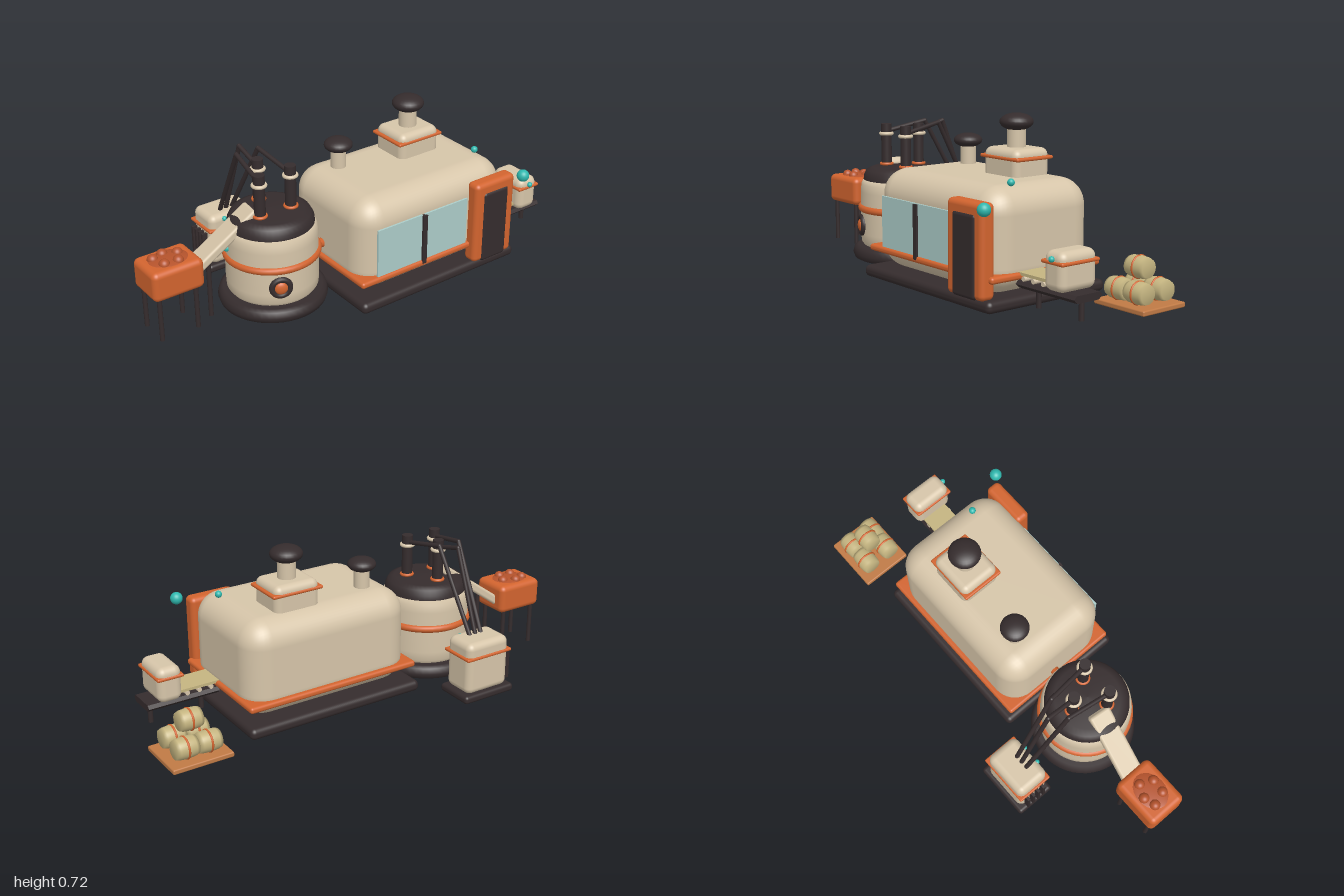
import * as THREE from 'three';
import { RoundedBoxGeometry } from 'three/addons/geometries/RoundedBoxGeometry.js';

const mat = (name, color, extra = {}) => {
  const m = new THREE.MeshStandardMaterial({ color, ...extra });
  m.name = name;
  return m;
};

export function createModel() {
  const cream = mat('cream', 0xd6c5a9);
  const orange = mat('orange', 0xd2642f);
  const dark = mat('charcoal', 0x352c2d);
  const glass = mat('glass', 0xaccdc9);
  const teal = mat('teal', 0x2fb8ae);
  const khaki = mat('khaki', 0xc4b480);
  const rust = mat('rust', 0xb5532c);
  const wood = mat('wood', 0xc07a45);

  const root = new THREE.Group();
  root.name = 'factory';
  const section = (name) => {
    const g = new THREE.Group();
    g.name = name;
    root.add(g);
    return g;
  };
  const put = (parent, name, geo, m, x = 0, y = 0, z = 0) => {
    const mesh = new THREE.Mesh(geo, m);
    mesh.name = name;
    mesh.position.set(x, y, z);
    parent.add(mesh);
    return mesh;
  };
  // Rounded box given by its extents on each axis
  const rbox = (p, name, m, [x0, x1], [y0, y1], [z0, z1], r) =>
    put(p, name, new RoundedBoxGeometry(x1 - x0, y1 - y0, z1 - z0, 5, r), m, (x0 + x1) / 2, (y0 + y1) / 2, (z0 + z1) / 2);
  const cyl = (p, name, m, r, y0, y1, x, z, seg = 24) =>
    put(p, name, new THREE.CylinderGeometry(r, r, y1 - y0, seg), m, x, (y0 + y1) / 2, z);
  const ball = (p, name, m, r, x, y, z, sy = 1) => {
    const s = put(p, name, new THREE.SphereGeometry(r, 24, 16), m, x, y, z);
    s.scale.y = sy;
    return s;
  };
  const hoop = (p, name, m, r, t, x, y, z) => {
    const h = put(p, name, new THREE.TorusGeometry(r, t, 10, 40), m, x, y, z);
    h.rotation.x = Math.PI / 2;
    return h;
  };
  const lathe = (p, name, m, pts, x, y, z) =>
    put(p, name, new THREE.LatheGeometry(pts.map(([a, b]) => new THREE.Vector2(a, b)), 48), m, x, y, z);
  // Straight rod between two points
  const rod = (p, name, m, a, b, r) => {
    const A = new THREE.Vector3(...a), B = new THREE.Vector3(...b);
    const d = B.clone().sub(A);
    const s = put(p, name, new THREE.CylinderGeometry(r, r, d.length(), 12), m);
    s.position.copy(A).add(B).multiplyScalar(0.5);
    s.quaternion.setFromUnitVectors(new THREE.Vector3(0, 1, 0), d.normalize());
    return s;
  };

  // Main building
  const main = section('mainBuilding');
  rbox(main, 'base', dark, [-0.22, 0.62], [0, 0.05], [-0.22, 0.4], 0.022);
  rbox(main, 'body', cream, [-0.195, 0.595], [0.045, 0.472], [-0.18, 0.358], 0.11);
  rbox(main, 'bodyBand', orange, [-0.21, 0.61], [0.112, 0.14], [-0.2, 0.376], 0.012);
  for (const x of [-0.008, 0.238])
    put(main, 'window', new THREE.BoxGeometry(0.234, 0.222, 0.009), glass, x, 0.247, 0.362);
  put(main, 'windowDivider', new THREE.BoxGeometry(0.022, 0.23, 0.02), dark, 0.118, 0.24, 0.366);
  rbox(main, 'doorFrame', orange, [0.37, 0.59], [0.045, 0.425], [0.34, 0.41], 0.022);
  rbox(main, 'door', dark, [0.41, 0.55], [0.045, 0.38], [0.37, 0.416], 0.015);
  ball(main, 'doorLamp', teal, 0.027, 0.62, 0.41, 0.424);
  ball(main, 'roofLamp', teal, 0.015, 0.525, 0.48, 0.21);

  // Roof vents
  const vents = section('roofVents');
  cyl(vents, 'smallVentPipe', cream, 0.034, 0.45, 0.565, -0.038, -0.03);
  ball(vents, 'smallVentCap', dark, 0.062, -0.038, 0.574, -0.03, 0.5);
  rbox(vents, 'ventHousing', cream, [0.21, 0.42], [0.44, 0.582], [-0.093, 0.093], 0.03);
  rbox(vents, 'ventBand', orange, [0.196, 0.434], [0.536, 0.551], [-0.097, 0.097], 0.007);
  cyl(vents, 'largeVentPipe', cream, 0.039, 0.57, 0.67, 0.315, 0);
  ball(vents, 'largeVentCap', dark, 0.07, 0.315, 0.685, 0, 0.52);

  // Boiler tank
  const tank = section('boilerTank');
  const tx = -0.43, tz = 0.035;
  lathe(tank, 'tankBase', dark, [[0, 0], [0.21, 0], [0.226, 0.008], [0.233, 0.03], [0.226, 0.055], [0.21, 0.065], [0, 0.065]], tx, 0, tz);
  lathe(tank, 'tankBody', cream, [[0.18, 0.06], [0.194, 0.08], [0.196, 0.12], [0.196, 0.31], [0.192, 0.345], [0.18, 0.368], [0, 0.37]], tx, 0, tz);
  lathe(tank, 'tankLid', dark, [[0.182, 0.365], [0.18, 0.385], [0.168, 0.408], [0.14, 0.42], [0, 0.426]], tx, 0, tz);
  const tankBand = hoop(tank, 'tankBand', orange, 0.194, 0.015, tx, 0.235, tz);
  tankBand.scale.z = 1.1;
  const porthole = new THREE.Group();
  porthole.name = 'porthole';
  porthole.position.set(tx - 0.075, 0.157, tz + 0.18);
  porthole.rotation.y = -0.39;
  tank.add(porthole);
  put(porthole, 'portholeRim', new THREE.TorusGeometry(0.037, 0.013, 12, 32), dark);
  put(porthole, 'portholeBack', new THREE.CylinderGeometry(0.04, 0.04, 0.012, 24), dark).rotation.x = Math.PI / 2;
  const fire = ball(porthole, 'portholeGlow', orange, 0.028, 0, 0, 0.006);
  fire.scale.z = 0.5;
  rod(tank, 'connector', orange, [-0.255, 0.205, 0.065], [-0.17, 0.185, 0.065], 0.02);
  ball(tank, 'tankLamp', teal, 0.015, -0.625, 0.283, 0.0);

  // Exhaust posts with pipes bending down to the generator
  const pipes = section('exhaustPipes');
  [[-0.505, 0.075, -0.46], [-0.43, -0.052, -0.43], [-0.355, 0.075, -0.4]].forEach(([x, z, ex]) => {
    cyl(pipes, 'post', dark, 0.024, 0.41, 0.612, x, z);
    hoop(pipes, 'postFoot', orange, 0.025, 0.007, x, 0.428, z);
    hoop(pipes, 'postCollar', cream, 0.026, 0.008, x, 0.567, z);
    const elbow = [(x + ex) / 2, 0.616, (z - 0.33) / 2];
    rod(pipes, 'upperPipe', dark, [x, 0.578, z], elbow, 0.01);
    ball(pipes, 'elbow', dark, 0.01, ...elbow);
    rod(pipes, 'lowerPipe', dark, elbow, [ex, 0.26, -0.33], 0.01);
  });

  // Generator behind the tank
  const gen = section('generator');
  rbox(gen, 'generatorBase', dark, [-0.562, -0.298], [0, 0.037], [-0.447, -0.265], 0.015);
  rbox(gen, 'generatorBody', cream, [-0.54, -0.32], [0.03, 0.266], [-0.43, -0.275], 0.03);
  rbox(gen, 'generatorBand', orange, [-0.55, -0.31], [0.193, 0.207], [-0.436, -0.27], 0.006);
  for (let i = 0; i < 4; i++)
    put(gen, 'louver', new THREE.BoxGeometry(0.03, 0.13, 0.012), dark, -0.55, 0.115, -0.4 + i * 0.028);
  for (const x of [-0.47, -0.39]) ball(gen, 'generatorLamp', teal, 0.011, x, 0.245, -0.277);

  // Ore hopper with chute
  const hopper = section('hopper');
  rbox(hopper, 'hopperBox', orange, [-1, -0.77], [0.19, 0.322], [-0.105, 0.077], 0.025);
  const heap = ball(hopper, 'oreHeap', rust, 0.095, -0.885, 0.315, -0.014, 0.16);
  heap.scale.z = 0.78;
  [[-0.94, -0.04], [-0.89, -0.055], [-0.835, -0.03], [-0.92, 0.02], [-0.86, 0.025]].forEach(([x, z]) =>
    ball(hopper, 'ore', rust, 0.023, x, 0.322, z));
  for (const x of [-0.97, -0.805])
    for (const z of [-0.08, 0.05]) cyl(hopper, 'hopperLeg', dark, 0.01, 0, 0.2, x, z, 12);
  cyl(hopper, 'chuteLeg', dark, 0.01, 0, 0.27, -0.72, 0.01, 12);
  const chute = put(hopper, 'chute', new RoundedBoxGeometry(0.36, 0.04, 0.1, 3, 0.012), cream, -0.655, 0.335, 0.005);
  chute.rotation.set(0, -0.11, 0.62, 'YZX');

  // Conveyor with packing machine
  const conveyor = section('conveyor');
  const profile = new THREE.Shape(
    [[-0.072, 0], [-0.055, -0.016], [0.055, -0.016], [0.072, 0], [0.06, 0.014], [-0.06, 0.014]].map(([a, b]) => new THREE.Vector2(a, b)));
  const bed = put(conveyor, 'bed', new THREE.ExtrudeGeometry(profile, { depth: 0.325, bevelEnabled: false }), dark, 0.595, 0.096, 0.172);
  bed.rotation.y = Math.PI / 2;
  put(conveyor, 'belt', new THREE.BoxGeometry(0.27, 0.012, 0.125), khaki, 0.725, 0.136, 0.168);
  for (let i = 0; i < 5; i++)
    rod(conveyor, 'roller', cream, [0.63 + i * 0.055, 0.12, 0.105], [0.63 + i * 0.055, 0.12, 0.236], 0.01);
  for (const x of [0.65, 0.885]) cyl(conveyor, 'conveyorLeg', dark, 0.011, 0, 0.09, x, 0.172, 12);
  rbox(conveyor, 'packer', cream, [0.77, 0.878], [0.11, 0.266], [0.08, 0.267], 0.032);
  rbox(conveyor, 'packerBand', orange, [0.764, 0.884], [0.215, 0.23], [0.076, 0.271], 0.007);
  ball(conveyor, 'packerLamp', teal, 0.012, 0.825, 0.237, 0.271);

  // Pallet with stacked barrels
  const cargo = section('cargo');
  rbox(cargo, 'pallet', wood, [0.732, 0.998], [0, 0.022], [-0.278, -0.043], 0.006);
  const barrelPts = [[0, -0.049], [0.038, -0.049], [0.043, -0.035], [0.046, 0], [0.043, 0.035], [0.038, 0.049], [0, 0.049]];
  const spots = [[0.865, 0.155, -0.158]];
  for (const x of [0.815, 0.915]) for (const z of [-0.102, -0.214]) spots.push([x, 0.069, z]);
  spots.forEach((p) => {
    const barrel = new THREE.Group();
    barrel.name = 'barrel';
    barrel.position.set(...p);
    barrel.rotation.z = Math.PI / 2;
    cargo.add(barrel);
    lathe(barrel, 'barrelBody', khaki, barrelPts, 0, 0, 0);
    hoop(barrel, 'barrelHoop', orange, 0.044, 0.005, 0, 0, 0);
  });

  return root;
}
